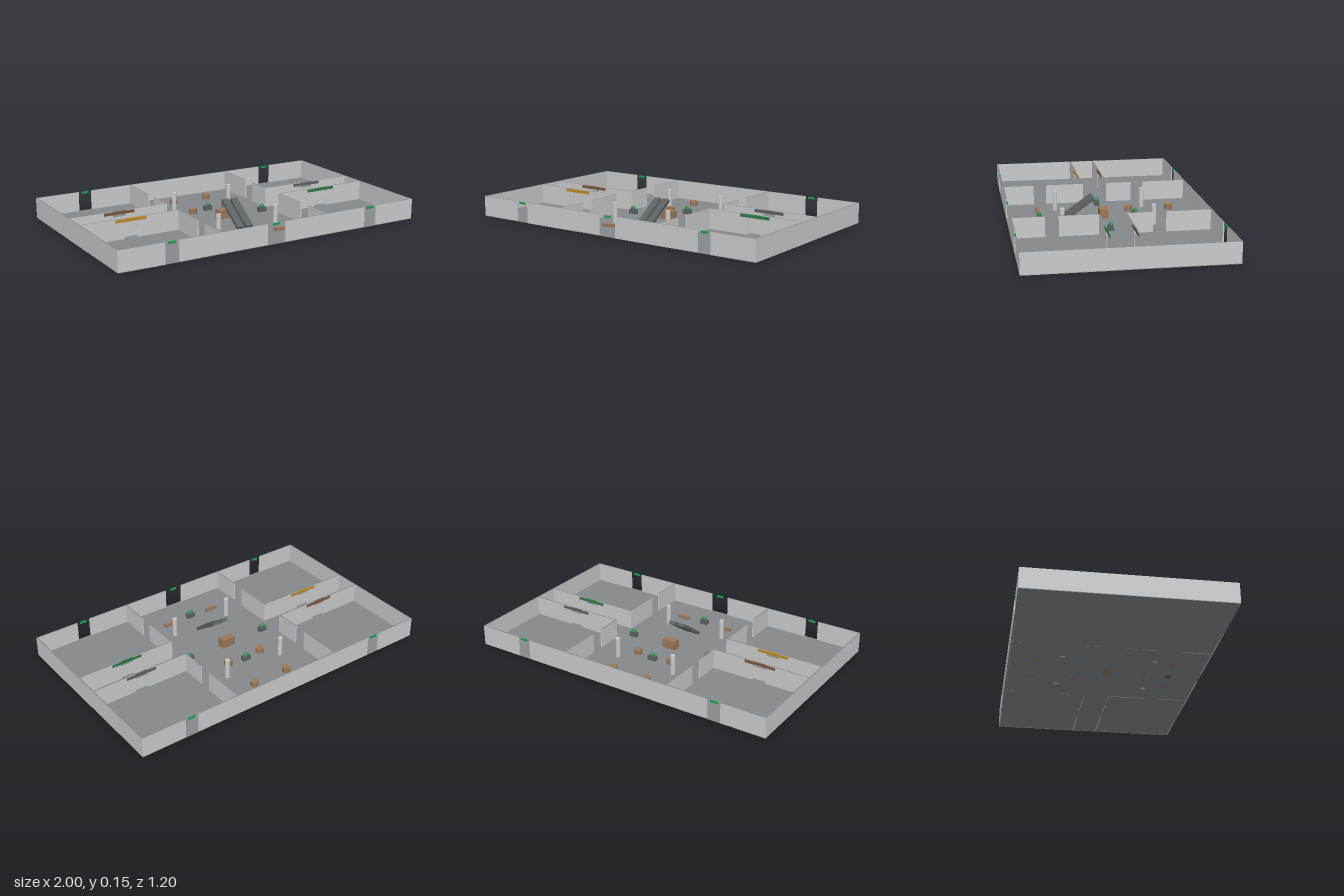
import * as THREE from 'three';

const H = 0.128; // wall height
const T = 0.008; // wall thickness

function mat(name, color) {
  const m = new THREE.MeshStandardMaterial({ color });
  m.name = name;
  return m;
}

export function createModel() {
  const root = new THREE.Group();
  root.name = 'shoppingHall';

  const floorGrey = mat('floorGrey', 0x84898c);
  const wallGrey = mat('wallGrey', 0xcacaca);
  const darkGrey = mat('darkGrey', 0x5c6164);
  const wood = mat('wood', 0x9c7656);
  const leafGreen = mat('leafGreen', 0x2e8b50);
  const exitGreen = mat('exitGreen', 0x18a048);
  const ochre = mat('ochre', 0xbd8a28);
  const brown = mat('brown', 0x7a583c);
  const signGreen = mat('signGreen', 0x2f7a45);

  // Walls are light on the sides and floor-coloured on the cap
  const wallMats = [wallGrey, wallGrey, floorGrey, wallGrey, wallGrey, wallGrey];

  function add(name, geo, material, x, y, z, parent = root) {
    const m = new THREE.Mesh(geo, material);
    m.name = name;
    m.position.set(x, y, z);
    parent.add(m);
    return m;
  }
  // Box standing with its underside at y
  const box = (name, material, w, h, d, x, y, z, parent) =>
    add(name, new THREE.BoxGeometry(w, h, d), material, x, y + h / 2, z, parent);
  const wallX = (name, x0, x1, z) => box(name, wallMats, x1 - x0, H, T, (x0 + x1) / 2, 0, z);
  const wallZ = (name, z0, z1, x) => box(name, wallMats, T, H, z1 - z0, x, 0, (z0 + z1) / 2);

  box('floor', floorGrey, 2, 0.004, 1.2, 0, 0, 0);

  // Outer walls with door openings
  const zo = 0.6 - T / 2;
  const d0 = 0.632, d1 = 0.718, dm = (d0 + d1) / 2;
  wallX('backWall', -d0, d0, -zo);
  for (const s of [-1, 1]) {
    const span = (name, a, b, z) => wallX(name, Math.min(s * a, s * b), Math.max(s * a, s * b), z);
    span('backCornerWall', d1, 1, -zo);
    span('frontCornerWall', d1, 1, zo);
    span('frontWall', 0.06, d0, zo);
    wallZ('sideWall', -0.6 + T, 0.6 - T, s * (1 - T / 2));

    // Shop walls along the side corridor, with a central entrance
    for (const z of [-0.08, 0.08]) {
      span('corridorWall', 0.36 - T / 2, d0, z);
      span('corridorWall', d1, 1 - T, z);
      box('shopWindow', wallGrey, d1 - d0, 0.075, 0.003, s * dm, 0.015, z);
    }

    // Shop walls facing the central hall, with doorways
    wallZ('hallWall', -0.6 + T, -0.32, s * 0.36);
    wallZ('hallWall', -0.24, -0.08, s * 0.36);
    wallZ('hallWall', 0.08, 0.32, s * 0.36);
    wallZ('hallWall', 0.40, 0.6 - T, s * 0.36);
  }

  // Shop signs above the entrances
  for (const [x, z, m] of [
    [-dm, 0.08, ochre], [-dm, -0.08, brown], [dm, 0.08, signGreen], [dm, -0.08, darkGrey],
  ]) box('shopSign', m, 0.2, 0.019, T + 0.001, x, 0.106, z);

  // Exit signs in the outer doorways
  for (const [x, z] of [[-dm, zo], [0, zo], [dm, zo], [-dm, -zo], [dm, -zo]])
    box('exitSign', exitGreen, 0.044, 0.012, T, x, 0.114, z);

  // Columns
  const columnGeo = new THREE.CylinderGeometry(0.015, 0.015, H, 16);
  for (const x of [-0.2, 0.2])
    for (const z of [-0.28, 0.28]) add('column', columnGeo, wallGrey, x, H / 2, z);

  // Pair of escalators rising towards the back
  for (const x of [-0.03, 0.03]) {
    const e = add('escalator', new THREE.BoxGeometry(0.046, 0.02, 0.23), darkGrey, x, 0.073, 0.16);
    e.rotation.x = THREE.MathUtils.degToRad(35);
  }

  // Planters
  for (const [x, z] of [[0, -0.2], [0, 0.4], [-0.28, 0], [0.28, 0]]) {
    const p = new THREE.Group();
    p.name = 'planter';
    p.position.set(x, 0, z);
    root.add(p);
    box('planterBox', darkGrey, 0.052, 0.032, 0.03, 0, 0, 0, p);
    const leaves = add('leaves', new THREE.SphereGeometry(0.018, 12, 8), leafGreen, 0, 0.038, 0, p);
    leaves.scale.set(1, 0.8, 0.75);
  }

  // Kiosk, round tables and benches
  box('kiosk', wood, 0.09, 0.06, 0.05, 0, 0, 0);
  const tableGeo = new THREE.CylinderGeometry(0.025, 0.025, 0.036, 20);
  for (const x of [-0.12, 0.12])
    for (const z of [-0.44, -0.18]) add('roundTable', tableGeo, wood, x, 0.018, z);
  for (const x of [-0.16, 0.16]) box('bench', wood, 0.08, 0.022, 0.022, x, 0, 0.395);

  return root;
}
